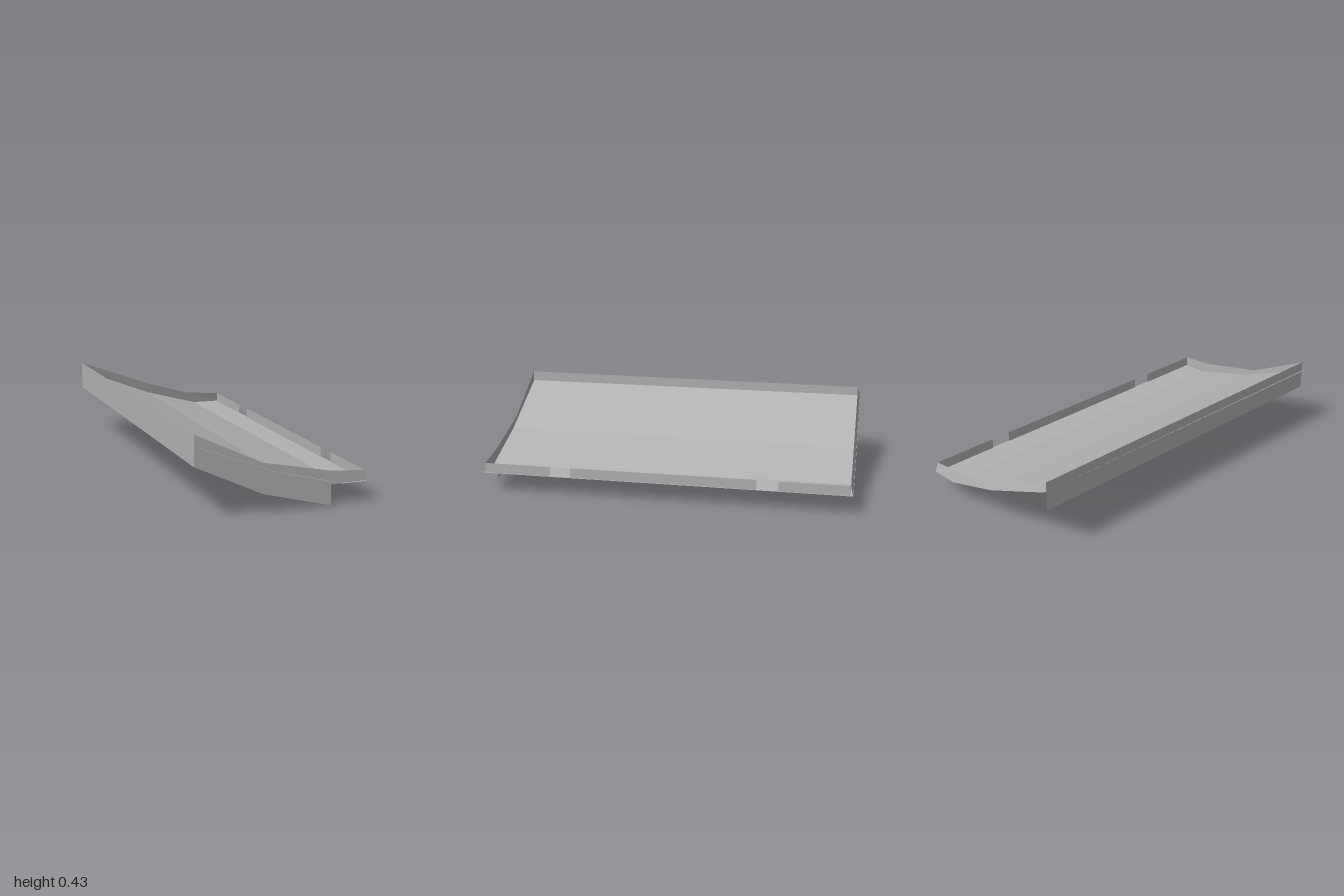
import * as THREE from 'three';

const grey = new THREE.MeshStandardMaterial({ color: 0xb2b2b2, side: THREE.DoubleSide });
grey.name = 'plain grey';

// Flat-shaded sheet spanning two polylines with the same number of points
function sheet(name, a, b) {
  const pos = [];
  for (let i = 0; i < a.length - 1; i++) {
    pos.push(...a[i], ...b[i], ...b[i + 1], ...a[i], ...b[i + 1], ...a[i + 1]);
  }
  const geo = new THREE.BufferGeometry();
  geo.setAttribute('position', new THREE.Float32BufferAttribute(pos, 3));
  geo.computeVertexNormals();
  const mesh = new THREE.Mesh(geo, grey);
  mesh.name = name;
  return mesh;
}

// Places an [x, y] profile at a given depth
const at = (profile, z) => profile.map(([x, y]) => [x, y, z]);

export function createModel() {
  const model = new THREE.Group();
  model.name = 'bentTray';

  const X = 0.46, FRONT = 0.99, BACK = -0.985;

  // Bent floor, slightly wider at the front and reaching past the walls
  const floorBack = [[-0.46, 0.384], [-0.025, 0.207], [0.3, 0.114], [0.466, 0.11]];
  const floorFront = [[-0.472, 0.383], [-0.03, 0.207], [0.33, 0.111], [0.466, 0.11]];
  model.add(sheet('floor', at(floorBack, -1), at(floorFront, 1)));

  // Front wall, hanging below the floor up to a step near the low side
  const outline = [
    [-X, 0.434], [-0.1, 0.26], [0.272, 0.181], [X, 0.165],
    [X, 0.11], [0.272, 0.11], [0.272, 0], [-0.1, 0.102], [-X, 0.276],
  ].map(([x, y]) => new THREE.Vector2(x, y)).reverse();
  const frontWall = new THREE.Mesh(new THREE.ShapeGeometry(new THREE.Shape(outline)), grey);
  frontWall.name = 'frontWall';
  frontWall.position.z = FRONT;
  model.add(frontWall);

  // Back wall, a low lip leaning out to the floor edge
  const lipTop = [[-X, 0.434], [-0.02, 0.265], [0.25, 0.185], [X, 0.165]];
  model.add(sheet('backWall', at(lipTop, BACK), at(floorBack, -0.999)));

  // Tall wall along the high side
  model.add(sheet('highSideWall',
    [[-X, 0.434, BACK], [-X, 0.434, FRONT]],
    [[-X, 0.276, BACK], [-X, 0.276, FRONT]]));

  // Low side wall in three pieces, leaving two gaps
  for (const [z0, z1] of [[BACK, -0.61], [-0.495, 0.513], [0.625, FRONT]]) {
    model.add(sheet('lowSideWall',
      [[X, 0.11, z0], [X, 0.11, z1]],
      [[X, 0.165, z0], [X, 0.165, z1]]));
  }

  return model;
}
